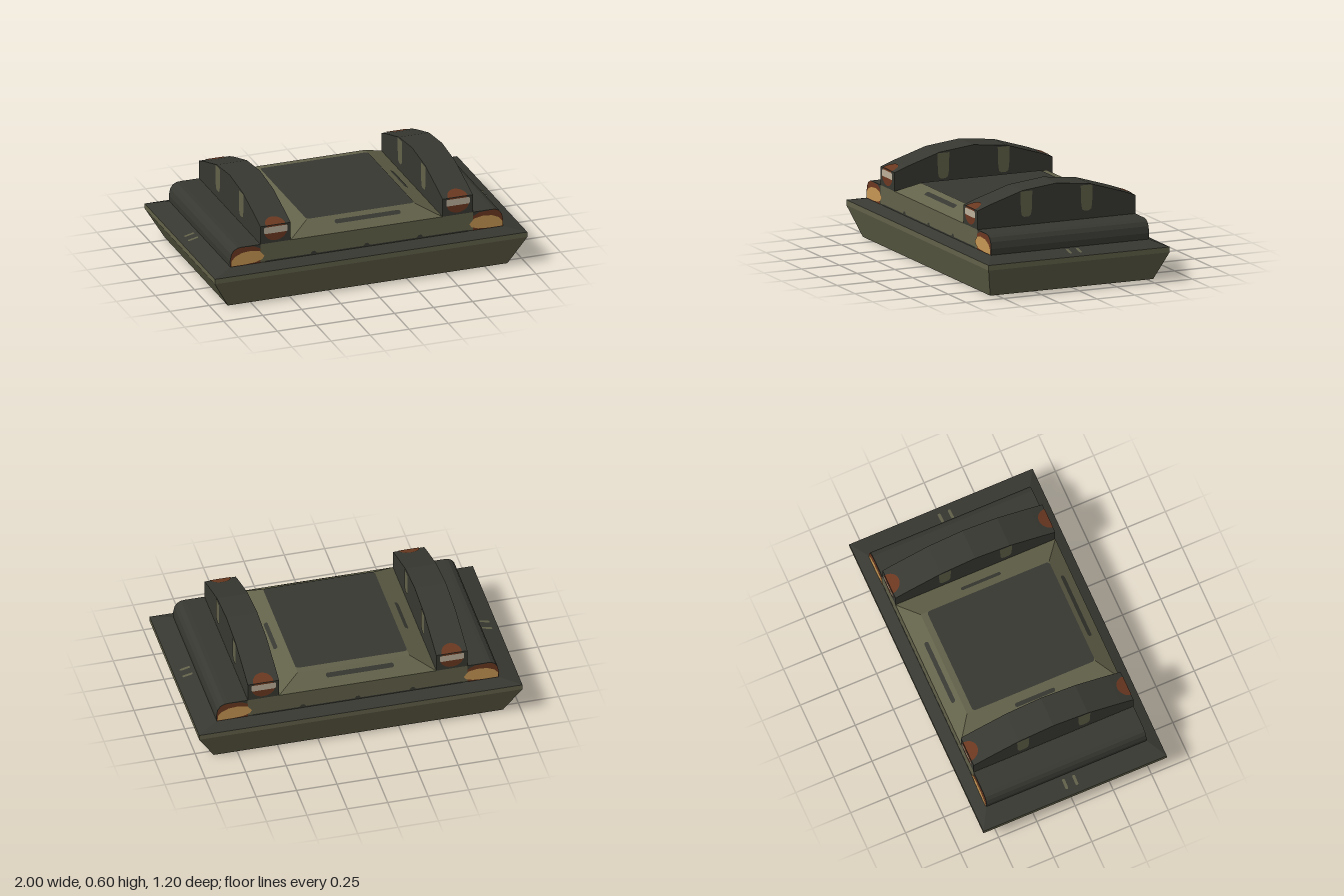
import * as THREE from 'three';

const mat = (name, color) => Object.assign(new THREE.MeshStandardMaterial({ color }), { name });

// Rectangular frustum: half extents [x, z] at y0 and at y1
function frustum([ax, az], y0, [bx, bz], y1) {
  const c = [[-1, 1], [1, 1], [1, -1], [-1, -1]];
  const lo = c.map(([x, z]) => [x * ax, y0, z * az]);
  const hi = c.map(([x, z]) => [x * bx, y1, z * bz]);
  const pos = [];
  const quad = (a, b, d, e) => pos.push(...a, ...b, ...d, ...a, ...d, ...e);
  for (let i = 0; i < 4; i++) {
    const j = (i + 1) % 4;
    quad(lo[i], lo[j], hi[j], hi[i]);
  }
  quad(hi[0], hi[1], hi[2], hi[3]);
  quad(lo[3], lo[2], lo[1], lo[0]);
  const g = new THREE.BufferGeometry();
  g.setAttribute('position', new THREE.Float32BufferAttribute(pos, 3));
  g.computeVertexNormals();
  return g;
}

const polygon = (pts) => new THREE.Shape(pts.map(([x, y]) => new THREE.Vector2(x, y)));

// Rounded rectangle centred on the origin
function roundedRect(w, h, r) {
  const x = w / 2, y = h / 2, s = new THREE.Shape();
  s.absarc(x - r, y - r, r, 0, Math.PI / 2);
  s.absarc(-x + r, y - r, r, Math.PI / 2, Math.PI);
  s.absarc(-x + r, -y + r, r, Math.PI, Math.PI * 1.5);
  s.absarc(x - r, -y + r, r, Math.PI * 1.5, Math.PI * 2);
  return s;
}

const flat = (shape) => new THREE.ShapeGeometry(shape, 6);
const extrude = (shape, depth) =>
  new THREE.ExtrudeGeometry(shape, { depth, bevelEnabled: false }).translate(0, 0, -depth / 2);

export function createModel() {
  const dark = mat('charcoal', 0x383832);
  const olive = mat('olive', 0x626149);
  const rust = mat('rust', 0x6b3820);
  const amber = mat('amber', 0xc69653);
  const cream = mat('cream', 0xbdb09a);

  const model = new THREE.Group();
  model.name = 'model';
  const add = (parent, name, geo, material) => {
    const m = new THREE.Mesh(geo, material);
    m.name = name;
    parent.add(m);
    return m;
  };

  // Stepped base
  add(model, 'baseHull', frustum([0.895, 0.54], 0, [1, 0.6], 0.18), olive);
  add(model, 'baseRim', frustum([1, 0.6], 0.18, [1, 0.6], 0.212), olive);
  add(model, 'baseDeck', frustum([1, 0.6], 0.212, [0.87, 0.523], 0.242), dark);

  // Central block with raised panel
  add(model, 'body', frustum([0.68, 0.523], 0.24, [0.68, 0.523], 0.36), olive);
  add(model, 'raisedPanel', frustum([0.485, 0.523], 0.36, [0.345, 0.42], 0.43), olive);
  add(model, 'panelInlay', flat(roundedRect(0.69, 0.8, 0.02)).rotateX(-Math.PI / 2)
    .translate(0, 0.432, 0.02), dark);

  // Arch and rail profiles
  const archShape = polygon([[-0.523, 0.36], [0.523, 0.36], [0.523, 0.475], [0.44, 0.505],
    [0.225, 0.572], [0, 0.597], [-0.225, 0.572], [-0.44, 0.505], [-0.523, 0.475]]);
  const railShape = polygon([[0.68, 0.24], [0.872, 0.24], [0.874, 0.28], [0.866, 0.32],
    [0.85, 0.345], [0.825, 0.358], [0.8, 0.36], [0.68, 0.36]]);
  const lampRim = polygon([[0.68, 0.242], [0.871, 0.242], [0.873, 0.28], [0.865, 0.32],
    [0.849, 0.344], [0.824, 0.357], [0.8, 0.359], [0.72, 0.355], [0.68, 0.335]]);
  const lampLens = polygon([[0.655, 0.285], [0.67, 0.265], [0.71, 0.252], [0.78, 0.246],
    [0.868, 0.246], [0.866, 0.28], [0.845, 0.305], [0.8, 0.325], [0.74, 0.33], [0.685, 0.32]]);
  const stripe = polygon([[-0.04, 0.567], [-0.036, 0.45], [-0.03, 0.42], [-0.015, 0.41],
    [0.015, 0.41], [0.03, 0.42], [0.036, 0.45], [0.04, 0.567]]);

  // Two sides, the second turned half round
  for (const [name, turn] of [['leftSide', 0], ['rightSide', Math.PI]]) {
    const side = new THREE.Group();
    side.name = name;
    side.rotation.y = turn;
    model.add(side);
    add(side, 'arch', extrude(archShape, 0.193).rotateY(-Math.PI / 2).translate(0.583, 0, 0), dark);
    add(side, 'rail', extrude(railShape, 1.046), dark);
    for (const z of [-0.2, 0.2]) {
      add(side, 'outerArchStripe', flat(stripe).rotateY(Math.PI / 2).translate(0.682, 0, z), olive);
      add(side, 'innerArchStripe', flat(stripe).rotateY(-Math.PI / 2).translate(0.484, 0, z), olive);
    }
    add(side, 'sideSlot', flat(roundedRect(0.026, 0.26, 0.012)).rotateX(-Math.PI / 2)
      .rotateZ(-Math.atan2(0.07, 0.14)).translate(0.405, 0.403, 0), dark);
    for (const z of [-0.033, 0.033]) {
      add(side, 'deckMark', flat(roundedRect(0.065, 0.018, 0.008)).rotateX(-Math.PI / 2)
        .rotateZ(-Math.atan2(0.03, 0.13)).translate(0.927, 0.232, z), olive);
    }
  }

  // Rust patch on an arch end: lower part upright, upper part on the sloping top
  const patch = [];
  for (let i = 0; i < 24; i++) {
    const a = (i / 24) * Math.PI * 2;
    patch.push([0.072 * Math.cos(a), Math.min(0.435 + 0.06 * Math.sin(a), 0.475)]);
  }
  const cap = new THREE.Shape();
  cap.absellipse(0, 0, 0.063, 0.07, 0, Math.PI);

  // Two ends, the second turned half round
  for (const [name, turn] of [['frontEnd', 0], ['backEnd', Math.PI]]) {
    const end = new THREE.Group();
    end.name = name;
    end.rotation.y = turn;
    model.add(end);
    add(end, 'endSlot', flat(roundedRect(0.42, 0.03, 0.014)).rotateX(-Math.PI / 2)
      .rotateX(Math.atan2(0.07, 0.103)).translate(0.03, 0.406, 0.46), dark);
    add(end, 'seam', flat(roundedRect(1.3, 0.01, 0.003)).translate(0, 0.245, 0.525), dark);
    for (const x of [-0.34, 0, 0.34]) {
      add(end, 'notch', flat(polygon([[-0.025, 0.245], [0.025, 0.245], [0.008, 0.266], [-0.008, 0.266]]))
        .translate(x, 0, 0.526), dark);
    }
    for (const s of [-1, 1]) {
      const mirror = (shape) => flat(polygon(shape.getPoints().map((p) => [p.x * s, p.y])));
      add(end, 'lampRim', mirror(lampRim).translate(0, 0, 0.526), rust);
      add(end, 'lampLens', mirror(lampLens).translate(0, 0, 0.529), amber);
      add(end, 'archPatch', flat(polygon(patch)).translate(s * 0.583, 0, 0.526), rust);
      add(end, 'archPatchTop', flat(cap).rotateX(-Math.PI / 2).rotateX(Math.atan2(0.03, 0.083))
        .translate(s * 0.583, 0.478, 0.524), rust);
      add(end, 'archLight', flat(roundedRect(0.15, 0.042, 0.008)).translate(s * 0.583, 0.446, 0.529), cream);
    }
  }
  return model;
}
